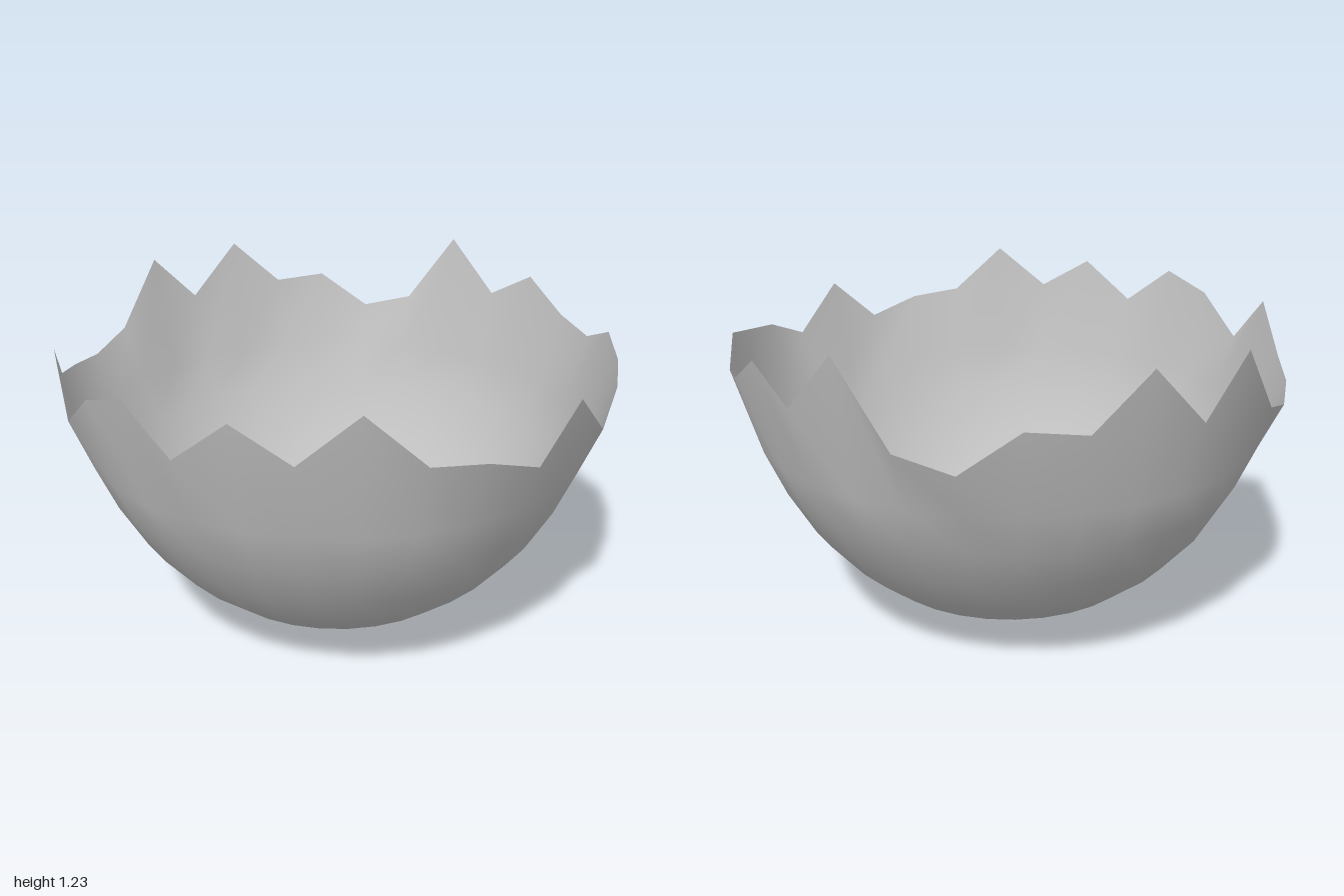
import * as THREE from 'three';
import { mergeVertices } from 'three/addons/utils/BufferGeometryUtils.js';

const SIDES = 32;

// Bowl profile from the hole in the base up to the rim: radius, height
const PROFILE = [
  [0.18, 0.014], [0.353, 0.07], [0.508, 0.156], [0.642, 0.267],
  [0.763, 0.41], [0.855, 0.573], [0.926, 0.74], [1, 1],
];

// Heights of the broken rim, from the front (+z) round through +x
const RIM = [
  1.015, 1.175, 1.0, 0.98, 0.92, 1.09, 0.92, 1.0,
  1.03, 1.07, 0.99, 1.02, 1.13, 1.02, 1.225, 0.95,
  0.90, 1.04, 1.02, 1.20, 1.0, 1.19, 0.95, 0.90,
  0.925, 0.96, 1.12, 0.93, 1.07, 1.13, 0.98, 1.13,
];

export function createModel() {
  const group = new THREE.Group();
  group.name = 'brokenShell';

  const shellGrey = new THREE.MeshStandardMaterial({ color: 0xc0c0c0, side: THREE.DoubleSide });
  shellGrey.name = 'shell grey';

  let geometry = new THREE.LatheGeometry(PROFILE.map(([r, y]) => new THREE.Vector2(r, y)), SIDES);
  const pos = geometry.attributes.position;
  const rings = PROFILE.length;
  for (let i = 0; i <= SIDES; i++) {
    // Slightly wavy edge of the base hole
    const base = i * rings;
    const angle = Math.PI / 2 - (i / SIDES) * Math.PI * 2;
    pos.setY(base, 0.013 - 0.013 * Math.cos(3 * angle));
    // Jagged rim
    pos.setY(base + rings - 1, RIM[i % SIDES]);
  }

  // Weld the seam and smooth the surface
  geometry.deleteAttribute('normal');
  geometry.deleteAttribute('uv');
  geometry = mergeVertices(geometry, 1e-4);
  geometry.computeVertexNormals();

  const shell = new THREE.Mesh(geometry, shellGrey);
  shell.name = 'shell';
  group.add(shell);
  return group;
}
